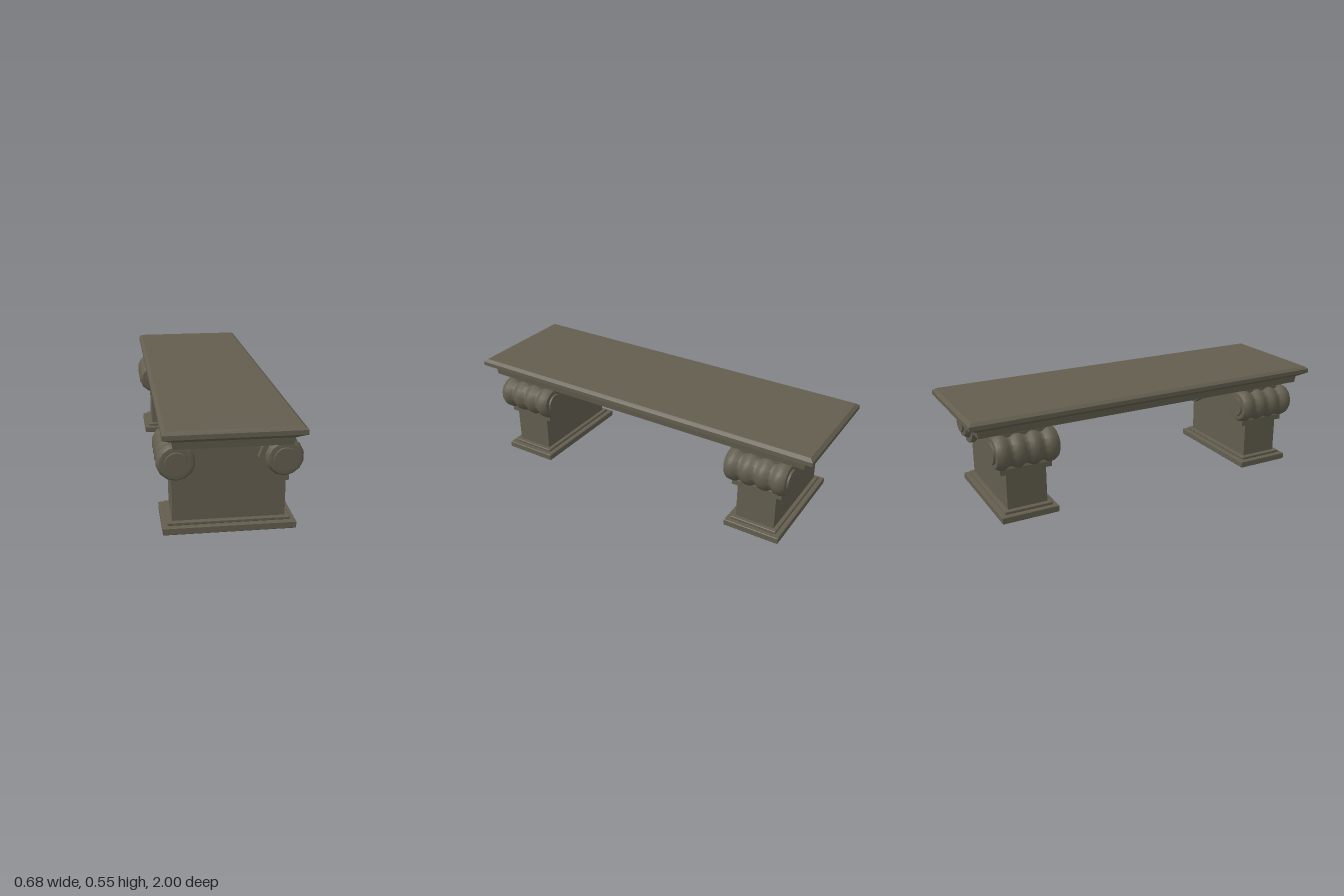
import * as THREE from 'three';
import { toCreasedNormals } from 'three/addons/utils/BufferGeometryUtils.js';

// Stack of rectangles [halfX, halfZ, y], bottom to top, joined and capped
function rectLoft(levels) {
  const pos = [];
  const rings = levels.map(([x, z, y]) => [[x, y, z], [x, y, -z], [-x, y, -z], [-x, y, z]]);
  const quad = (a, b, c, d) => pos.push(...a, ...b, ...c, ...a, ...c, ...d);
  for (let i = 0; i < rings.length - 1; i++) {
    for (let k = 0; k < 4; k++) {
      const n = (k + 1) % 4;
      quad(rings[i][k], rings[i][n], rings[i + 1][n], rings[i + 1][k]);
    }
  }
  const bottom = rings[0], top = rings[rings.length - 1];
  quad(bottom[3], bottom[2], bottom[1], bottom[0]);
  quad(...top);
  const geo = new THREE.BufferGeometry();
  geo.setAttribute('position', new THREE.Float32BufferAttribute(pos, 3));
  geo.computeVertexNormals();
  return geo;
}

// Low block with a small chamfer round the top and bottom
function plinth(x, z, y0, y1) {
  const b = 0.003;
  return rectLoft([[x - b, z - b, y0], [x, z, y0 + b], [x, z, y1 - b], [x - b, z - b, y1]]);
}

// Ribbed roll with four beads and a raised disc on each end, along z
function scrollGeometry() {
  const half = [];
  const centres = [-0.125, -0.0415, 0.0415, 0.125];
  for (const c of centres) {
    for (const [dz, r] of [[-0.036, 0.077], [-0.018, 0.089], [0, 0.092], [0.018, 0.089], [0.036, 0.077]]) {
      half.push([r, c + dz]);
    }
  }
  const profile = [
    [0, -0.172], [0.053, -0.172], [0.055, -0.162], [0.072, -0.162],
    ...half,
    [0.072, 0.162], [0.055, 0.162], [0.053, 0.172], [0, 0.172],
  ].map(([r, z]) => new THREE.Vector2(r, z));
  const geo = new THREE.LatheGeometry(profile, 14);
  geo.rotateX(Math.PI / 2);
  return toCreasedNormals(geo, 0.6);
}

// Curved bracket cradling the inner side of a roll
function bracketGeometry() {
  const shape = new THREE.Shape([
    [0.273, 0.24], [0.273, 0.268], [0.26, 0.3], [0.26, 0.446], [0.225, 0.446], [0.178, 0.437],
    [0.146, 0.403], [0.13, 0.356], [0.146, 0.308], [0.178, 0.265], [0.222, 0.24],
  ].map(([x, y]) => new THREE.Vector2(x, y)));
  const geo = new THREE.ExtrudeGeometry(shape, { depth: 0.27, bevelEnabled: false });
  geo.translate(0, 0, -0.135);
  return geo;
}

export function createModel() {
  const stone = new THREE.MeshStandardMaterial({ color: 0x625d4e });
  stone.name = 'weathered stone';
  const model = new THREE.Group();
  model.name = 'stoneBench';

  const add = (parent, name, geo) => {
    const mesh = new THREE.Mesh(geo, stone);
    mesh.name = name;
    parent.add(mesh);
    return mesh;
  };

  // Seat slab with moulded rim and lower band
  add(model, 'seat', rectLoft([
    [0.268, 0.946, 0.448], [0.273, 0.951, 0.483], [0.318, 1, 0.51],
    [0.318, 1, 0.531], [0.301, 0.983, 0.545],
  ]));

  const roll = scrollGeometry();
  const bracket = bracketGeometry();

  // Two matching pedestals
  for (const end of [1, -1]) {
    const leg = new THREE.Group();
    leg.name = end > 0 ? 'frontPedestal' : 'backPedestal';
    leg.position.z = end * 0.717;
    add(leg, 'base', plinth(0.312, 0.15, 0, 0.035));
    add(leg, 'baseStep', plinth(0.288, 0.126, 0.035, 0.051));
    add(leg, 'pillar', rectLoft([[0.265, 0.105, 0.05], [0.265, 0.105, 0.446]]));

    // Bracket and roll on each side, turned half round for the right
    for (const side of [1, -1]) {
      const name = side > 0 ? 'left' : 'right';
      add(leg, name + 'Bracket', bracket).rotation.y = side > 0 ? 0 : Math.PI;
      const scroll = add(leg, name + 'Scroll', roll);
      scroll.position.set(side * 0.248, 0.356, 0);
      scroll.rotation.y = side > 0 ? 0 : Math.PI;
    }
    model.add(leg);
  }
  return model;
}
